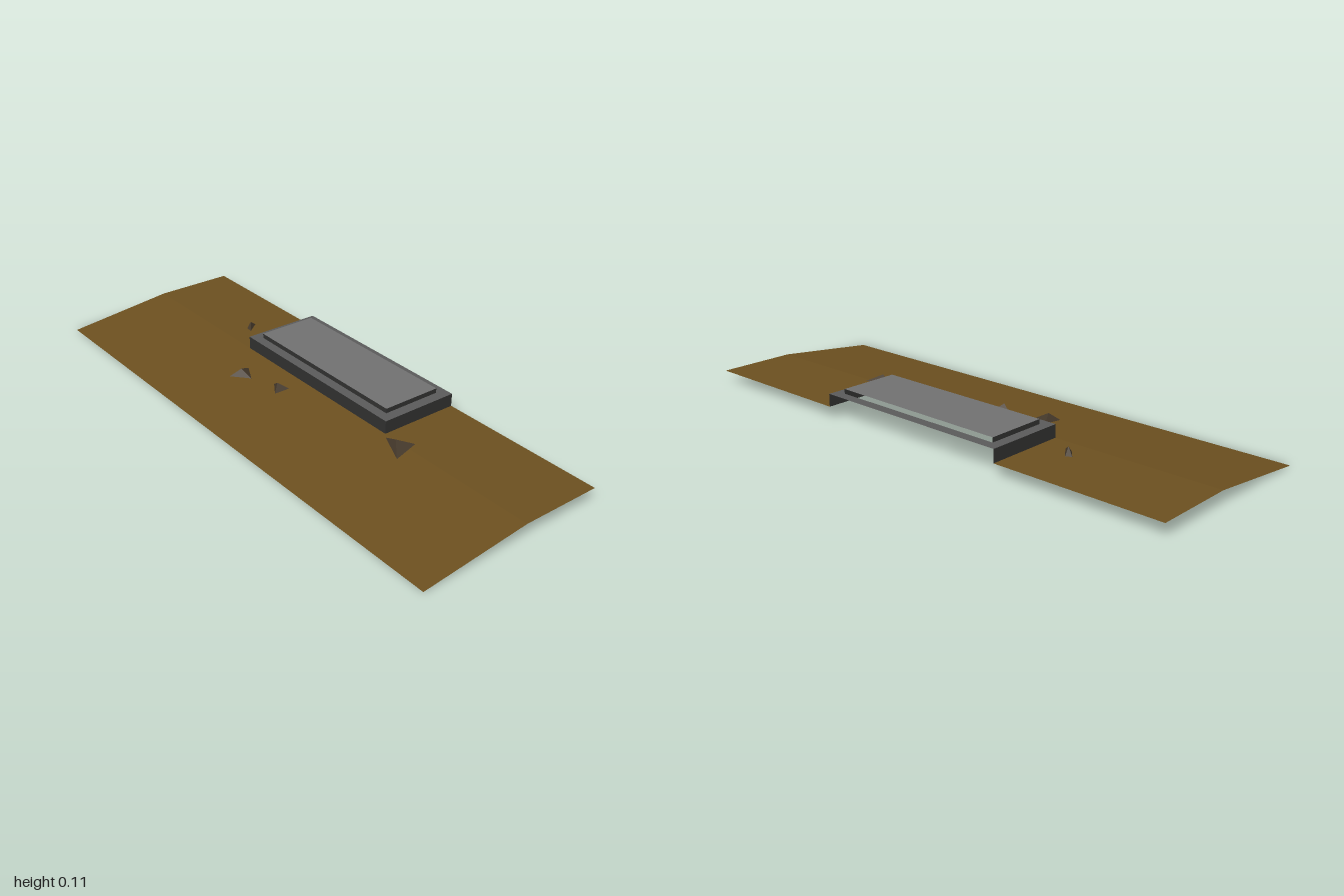
import * as THREE from 'three';

const mat = (color) => new THREE.MeshStandardMaterial({ color, flatShading: true, side: THREE.DoubleSide });
const soil = mat(0x6b4f1f), stone = mat(0x30302f), ledgeGrey = mat(0x5a5a5a), slabGrey = mat(0x707070), rock = mat(0x44382a);

// Mesh from four-cornered or three-cornered faces, corners counter-clockwise
function faces(name, material, list) {
  const p = [];
  for (const f of list) {
    for (let i = 1; i < f.length - 1; i++) p.push(...f[0], ...f[i], ...f[i + 1]);
  }
  const g = new THREE.BufferGeometry();
  g.setAttribute('position', new THREE.Float32BufferAttribute(p, 3));
  g.computeVertexNormals();
  const m = new THREE.Mesh(g, material);
  m.name = name;
  return m;
}

// Horizontal rectangle facing up
const flat = (x0, x1, z0, z1, y) => [[x0, y, z1], [x1, y, z1], [x1, y, z0], [x0, y, z0]];

// Front and side walls, open at the back
function walls(name, w, zBack, zFront, y0, y1) {
  return faces(name, stone, [
    [[-w, y0, zFront], [w, y0, zFront], [w, y1, zFront], [-w, y1, zFront]],
    [[w, y0, zFront], [w, y0, zBack], [w, y1, zBack], [w, y1, zFront]],
    [[-w, y0, zBack], [-w, y0, zFront], [-w, y1, zFront], [-w, y1, zBack]],
  ]);
}

export function createModel() {
  const group = new THREE.Group();
  const back = -0.35, front = 0.35, kink = -0.053;
  const yGround = 0.046, yLedge = 0.093, yTop = 0.11;
  const w = 0.383, wi = 0.345, zi0 = -0.312, zi1 = -0.088;

  // Ground sheet: flat behind with a notch under the platform, sloping in front
  group.add(faces('ground', soil, [
    flat(-1, -w, back, kink, yGround),
    flat(w, 1, back, kink, yGround),
    [[-1, 0, front], [1, 0, front], [1, yGround, kink], [-1, yGround, kink]],
  ]));

  // Platform shell: walls, ledge frame and raised slab
  group.add(walls('platformWalls', w, back, kink, yGround, yLedge));
  group.add(faces('platformLedge', ledgeGrey, [
    flat(-w, w, zi1, kink, yLedge),
    flat(-w, w, back, zi0, yLedge),
    flat(-w, -wi, zi0, zi1, yLedge),
    flat(wi, w, zi0, zi1, yLedge),
  ]));
  group.add(walls('slabWalls', wi, zi0, zi1, yLedge, yTop));
  group.add(faces('slabTop', slabGrey, [flat(-wi, wi, zi0, zi1, yTop)]));

  // Scattered rocks: base corners (x, z) and peak (x, y, z)
  const baseY = (z) => Math.min(0.055, 0.044 - 0.095 * z);
  const rocks = [
    [[[-0.54, -0.165], [-0.51, -0.13], [-0.483, -0.128], [-0.52, -0.175]], [-0.51, 0.078, -0.147]],
    [[[-0.267, 0.035], [-0.267, 0.117], [-0.2, 0.07]], [-0.245, 0.062, 0.081]],
    [[[-0.113, 0.033], [-0.06, 0.068], [-0.052, 0.013]], [-0.077, 0.066, 0.045]],
    [[[0.403, -0.037], [0.515, 0.014], [0.495, -0.082]], [0.46, 0.072, -0.028]],
  ];
  for (const [base, peak] of rocks) {
    const c = base.map(([x, z]) => [x, baseY(z), z]);
    group.add(faces('rock', rock, c.map((a, i) => [a, c[(i + 1) % c.length], peak])));
  }
  return group;
}
